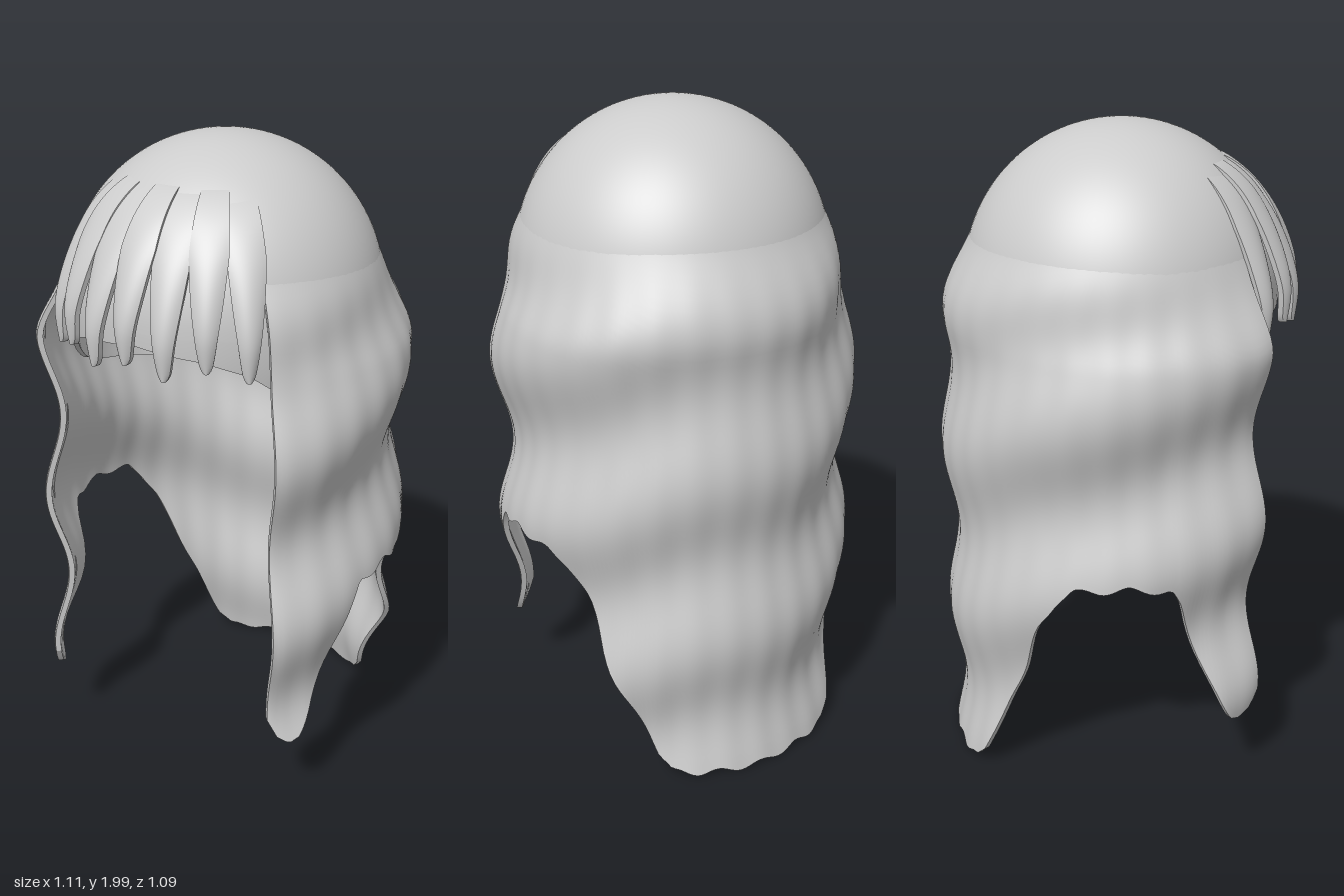
import * as THREE from 'three';
import { mergeGeometries, mergeVertices } from 'three/addons/utils/BufferGeometryUtils.js';

const { lerp, smoothstep, degToRad } = THREE.MathUtils;

// Point at an angle in degrees: 0 = back, 90 = model's left, 180 = front
function polar(deg, r, y, shiftZ = 0) {
  const a = degToRad(deg);
  return [r * Math.sin(a), y, shiftZ - r * Math.cos(a)];
}

// Smooth surface over a grid of points f(u, v)
function sheet(f, nu, nv) {
  const pos = [], index = [];
  for (let j = 0; j <= nv; j++)
    for (let i = 0; i <= nu; i++) pos.push(...f(i / nu, j / nv));
  for (let j = 0; j < nv; j++)
    for (let i = 0; i < nu; i++) {
      const a = j * (nu + 1) + i, c = a + nu + 1;
      index.push(a, a + 1, c, a + 1, c + 1, c);
    }
  let geo = new THREE.BufferGeometry();
  geo.setAttribute('position', new THREE.Float32BufferAttribute(pos, 3));
  geo.setIndex(index);
  geo = mergeVertices(geo, 1e-5);
  geo.computeVertexNormals();
  return geo;
}

// Thick shell: f(u, v, depth), with depth 0 outside and 1 inside
function shell(f, nu, nv) {
  return mergeGeometries([
    sheet((u, v) => f(u, v, 0), nu, nv),
    sheet((u, v) => f(1 - u, v, 1), nu, nv),
    sheet((u, v) => f(u, 1, v), nu, 1),
    sheet((u, v) => f(1, v, u), 1, nv),
    sheet((u, v) => f(0, v, 1 - u), 1, nv),
  ]);
}

// Piecewise linear lookup in [x, y] pairs
function lookup(table, x) {
  for (let i = 1; i < table.length; i++) {
    const [x0, y0] = table[i - 1], [x1, y1] = table[i];
    if (x <= x1) return lerp(y0, y1, (x - x0) / (x1 - x0));
  }
  return table[table.length - 1][1];
}

const DOME_Y = 1.53, DOME_R = 0.47, DOME_Z = 0.015;
const domeRadius = (y) => Math.sqrt(Math.max(0, DOME_R ** 2 - (y - DOME_Y) ** 2));

// Skull cap: hemisphere with a tapering skirt, low at the nape, high at the forehead
const capEdge = [[0, 1.165], [65, 1.195], [100, 1.25], [118, 1.3], [140, 1.425], [155, 1.465], [180, 1.49]];
function capPoint(u, v, depth) {
  const deg = u * 360, t = depth * 0.015;
  if (v <= 0.7) {
    const a = (v / 0.7) * Math.PI / 2;
    return polar(deg, (DOME_R - t) * Math.sin(a), DOME_Y + (DOME_R - t) * Math.cos(a), DOME_Z);
  }
  const y = lerp(DOME_Y, lookup(capEdge, Math.min(deg, 360 - deg)), (v - 0.7) / 0.3);
  return polar(deg, DOME_R - t - 0.07 * ((DOME_Y - y) / 0.36) ** 2, y, DOME_Z);
}

// Long hair: hem height by angle from the back, waves level behind and slanting round the sides
const hem = [[0, 0.02], [31, 0.03], [36, 0.09], [42, 0.21], [54, 0.45], [61, 0.6], [68, 0.71], [73, 0.75],
  [90, 0.765], [103, 0.745], [107, 0.68], [113.6, 0.5], [120.6, 0.32], [124, 0.265], [128, 0.25], [132, 0.275], [135, 0.33]];
function hairPoint(u, v, depth) {
  const deg = lerp(-135, 135, u), side = Math.abs(deg);
  const jag = 0.009 * Math.cos(degToRad(deg * 24)) * (1 - smoothstep(side, 100, 115));
  const y = lerp(1.78, lookup(hem, side) + jag, v);
  const fall = 1 - smoothstep(y, 1.4, 1.7);
  const crest = 1.57 - 0.27 * deg / 90 * smoothstep(side, 0, 60);
  const wave = Math.cos((y - crest) / 0.54 * Math.PI * 2);
  const amp = lerp(0.02, 0.029, smoothstep(side, 0, 90));
  const full = 0.525 + 0.025 * smoothstep(side, 95, 135);
  const strands = 0.0015 * Math.cos(degToRad(deg * 30));
  const r = lerp(domeRadius(y) - 0.003, full, fall) + fall * (amp * wave + strands);
  return polar(deg, r - depth * 0.018, y, DOME_Z * (1 - fall));
}

// Fringe lock: joined to its neighbours on the dome, tapering to a rounded tip
const fringePath = new THREE.SplineCurve([[0.24, 1.905], [0.315, 1.889], [0.4, 1.822], [0.47, 1.728], [0.52, 1.62], [0.543, 1.52], [0.535, 1.42]]
  .map(([r, y]) => new THREE.Vector2(r, y)));
const lockWidth = [[0, 6.9], [0.48, 6.9], [0.88, 2.9], [0.96, 1.9], [1, 0.8]];
function lockPoint(centre, scale, lift) {
  return (u, v, depth) => {
    const p = fringePath.getPoint(v), s = u * 2 - 1, half = lookup(lockWidth, v);
    const bulge = 0.02 * s * s * smoothstep(v, 0.25, 0.75) * Math.sqrt(half / 6.9);
    return polar(centre + s * half, p.x * scale - bulge - depth * 0.016, p.y + lift * v);
  };
}

export function createModel() {
  const hair = new THREE.MeshStandardMaterial({ color: 0xcccccc, side: THREE.DoubleSide });
  hair.name = 'light grey hair';
  const group = new THREE.Group();
  group.name = 'wig';
  const add = (name, geo, parent = group) => {
    const mesh = new THREE.Mesh(geo, hair);
    mesh.name = name;
    parent.add(mesh);
  };

  add('skullCap', shell(capPoint, 96, 50));
  add('longHair', shell(hairPoint, 180, 64));

  // Seven locks fanned across the forehead, alternating in length
  const fringe = new THREE.Group();
  fringe.name = 'fringe';
  group.add(fringe);
  for (let i = -3; i <= 3; i++) {
    const lift = i % 2 ? 0 : 0.03;
    add('fringeLock', shell(lockPoint(180 + i * 12.8, 1.003 - 0.03 * (i / 3) ** 2, lift), 12, 40), fringe);
  }
  return group;
}
